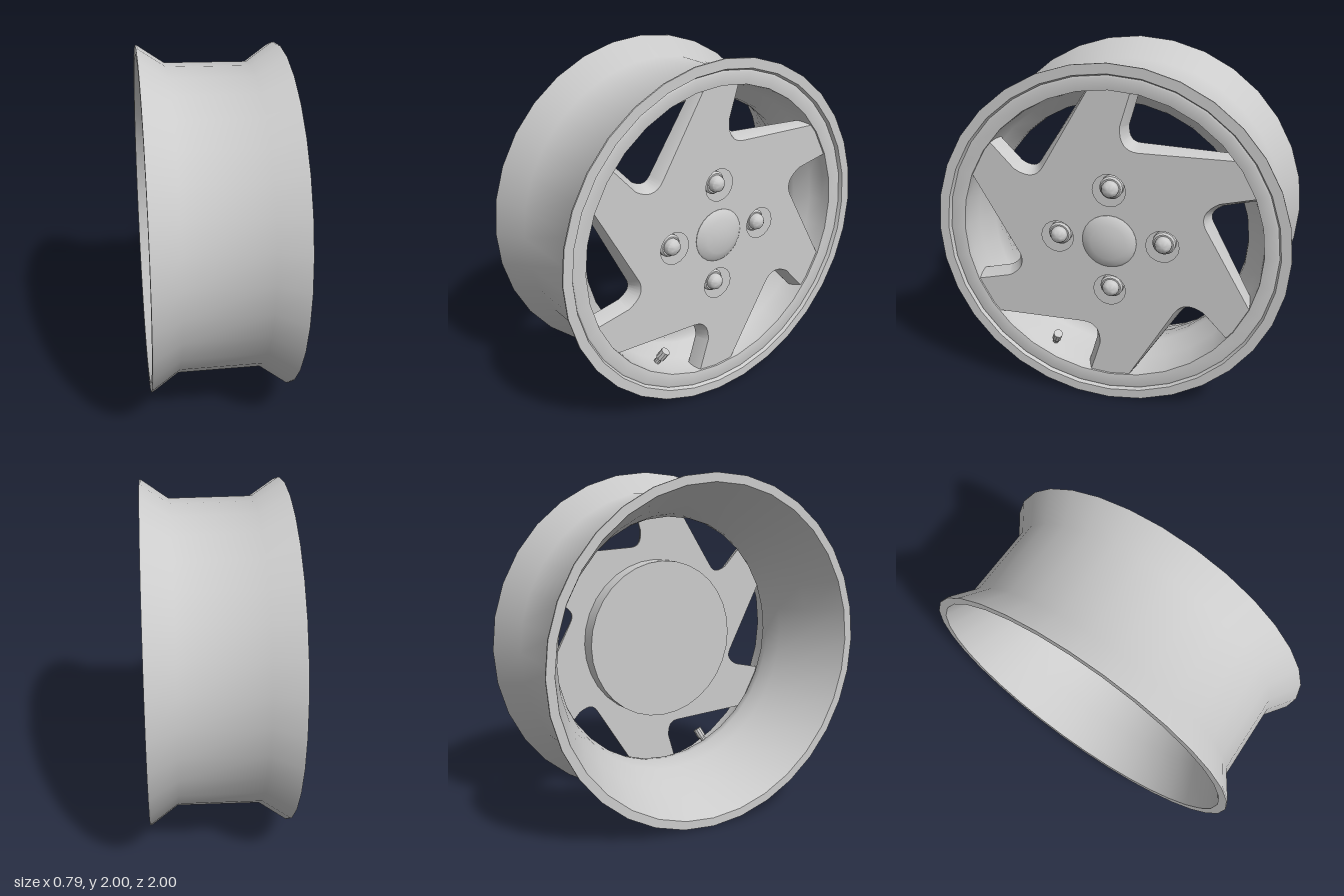
import * as THREE from 'three';
import { toCreasedNormals } from 'three/addons/utils/BufferGeometryUtils.js';

const material = new THREE.MeshStandardMaterial({ color: 0xcccccc });

function part(name, geometry, parent, crease = 0.6) {
  const mesh = new THREE.Mesh(toCreasedNormals(geometry, crease), material);
  mesh.name = name;
  parent.add(mesh);
  return mesh;
}

// Solid of revolution about z, from [radius, z] pairs (outside runs towards +z)
function turned(points, segments) {
  const profile = points.map(([r, z]) => new THREE.Vector2(r, z));
  return new THREE.LatheGeometry(profile, segments).rotateX(Math.PI / 2);
}

// Six swept spokes: outline made of one window and one spoke tip, repeated
function spokeOutline() {
  const shape = new THREE.Shape();
  const tip = 0.87;
  for (let i = 0; i < 6; i++) {
    const turn = -i * Math.PI / 3;
    const at = (x, y) => new THREE.Vector2(x, y).rotateAround(new THREE.Vector2(), turn);
    const polar = (deg) => at(tip * Math.cos(deg * Math.PI / 180), tip * Math.sin(deg * Math.PI / 180));
    const start = polar(82);
    if (i === 0) shape.moveTo(start.x, start.y);
    else shape.lineTo(start.x, start.y);
    const a = at(0.06, 0.66), b = at(0.055, 0.53), c = at(0.16, 0.525), end = polar(36.8);
    shape.lineTo(a.x, a.y);
    shape.quadraticCurveTo(b.x, b.y, c.x, c.y);
    shape.lineTo(end.x, end.y);
  }
  shape.closePath();
  return shape;
}

export function createModel() {
  const model = new THREE.Group();
  model.name = 'wheel';
  // Built with the axle along z, then turned so the face looks along +x
  const wheel = new THREE.Group();
  wheel.name = 'wheelBody';
  wheel.rotation.y = Math.PI / 2;
  wheel.position.y = 1;
  model.add(wheel);

  // Rim: flared outside, stepped front lip, narrow well just behind the spokes
  part('rim', turned([
    [0.95, -0.395], [1, -0.395], [1, -0.385], [0.9, -0.235], [0.895, 0.235], [1, 0.385], [1, 0.395],
    [0.945, 0.395], [0.935, 0.375], [0.925, 0.38], [0.855, 0.37], [0.85, 0.32],
    [0.82, 0.24], [0.75, 0.17], [0.745, 0.12], [0.77, 0.02], [0.84, -0.16], [0.95, -0.395],
  ], 32), wheel, 0.75);

  // Spoke plate with drafted walls and four conical bolt recesses
  const outline = spokeOutline();
  const boltAngles = [0, 1, 2, 3].map((i) => i * Math.PI / 2);
  for (const a of boltAngles) {
    const hole = new THREE.Path();
    hole.absarc(0.3 * Math.cos(a), 0.3 * Math.sin(a), 0.093, 0, Math.PI * 2, true);
    outline.holes.push(hole);
  }
  const plate = new THREE.ExtrudeGeometry(outline, {
    depth: 0.01, bevelThickness: 0.07, bevelSize: 0.035, bevelSegments: 1, curveSegments: 8,
  });
  // Flatten the rear bevel and keep the spoke tips inside the rim
  const pos = plate.attributes.position;
  for (let i = 0; i < pos.count; i++) {
    const x = pos.getX(i), y = pos.getY(i);
    const k = Math.min(1, 0.875 / Math.max(0.01, Math.hypot(x, y)));
    pos.setXYZ(i, x * k, y * k, Math.max(0, pos.getZ(i)));
  }
  plate.translate(0, 0, 0.28);
  part('spokes', plate, wheel, 0.5);

  // Mounting hub behind the spokes, also the floor of the bolt recesses
  part('hub', turned([[0, 0.185], [0.48, 0.185], [0.48, 0.285], [0, 0.285]], 32), wheel);

  // Domed centre cap
  part('centreCap', turned([
    [0.155, 0.34], [0.155, 0.362], [0.14, 0.374], [0.1, 0.387], [0.05, 0.395], [0, 0.398],
  ], 24), wheel);

  // Wheel bolts: collar and rounded head
  for (const a of boltAngles) {
    const bolt = part('wheelBolt', turned([
      [0.066, 0.28], [0.066, 0.315], [0.056, 0.327], [0.048, 0.327], [0.048, 0.342],
      [0.042, 0.358], [0.025, 0.372], [0, 0.376],
    ], 16), wheel);
    bolt.position.set(0.3 * Math.cos(a), 0.3 * Math.sin(a), 0);
  }

  // Tyre valve leaning inward from the rim
  const valve = new THREE.Group();
  valve.name = 'valve';
  const direction = new THREE.Vector3(0.043, 0.102, 0.055).normalize();
  valve.position.set(-0.374, -0.76, 0.26);
  valve.quaternion.setFromUnitVectors(new THREE.Vector3(0, 1, 0), direction);
  wheel.add(valve);
  part('valveStem', new THREE.CylinderGeometry(0.018, 0.018, 0.09, 10).translate(0, 0.025, 0), valve);
  part('valveCap', new THREE.CylinderGeometry(0.027, 0.027, 0.06, 10).translate(0, 0.09, 0), valve);

  return model;
}
